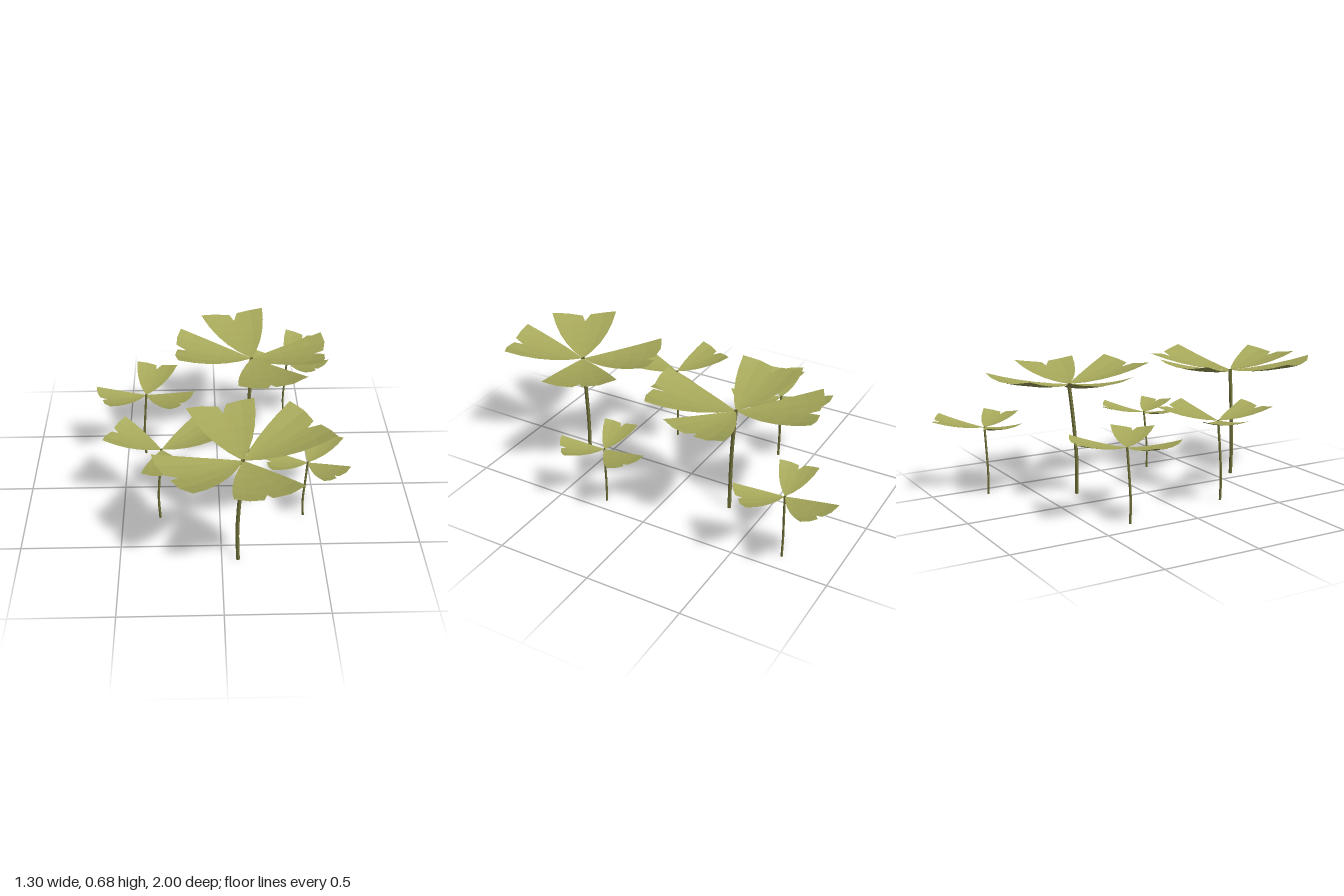
import * as THREE from 'three';

// Leaf tip outline: [fraction of half-angle, fraction of length], with a notch near the middle
const TIP = [[-1, 1], [-0.52, 0.985], [-0.06, 0.94], [0.02, 0.83], [0.2, 0.96], [0.6, 0.985], [1, 1]];
const ROWS = [0.02, 0.2, 0.4, 0.6, 0.8, 1];
const HALF = 24.4;

// Each plant: stem base and top, stem radius, leaves as [heading in degrees, length]
const PLANTS = [
  { name: 'tallBackPlant', base: [0.175, -0.32], top: [0.187, 0.59, -0.35], r: 0.0105,
    leaves: [[5, 0.405], [77.2, 0.442], [182, 0.423], [256.2, 0.431]] },
  { name: 'tallFrontPlant', base: [0.08, 0.605], top: [0.098, 0.59, 0.603], r: 0.0105,
    leaves: [[74.1, 0.402], [147.2, 0.427], [255.6, 0.42], [-32.4, 0.445]] },
  { name: 'rightBackPlant', base: [-0.4, -0.325], top: [-0.386, 0.378, -0.332], r: 0.007,
    leaves: [[282.6, 0.28], [157, 0.268], [36, 0.268]] },
  { name: 'rightFrontPlant', base: [-0.308, 0.265], top: [-0.291, 0.42, 0.257], r: 0.007,
    leaves: [[205.5, 0.291], [-28.5, 0.315], [83.3, 0.295]] },
  { name: 'leftBackPlant', base: [0.405, -0.725], top: [0.417, 0.36, -0.73], r: 0.006,
    leaves: [[-63, 0.272], [46, 0.245], [173, 0.241]] },
  { name: 'leftFrontPlant', base: [0.432, 0.262], top: [0.444, 0.325, 0.252], r: 0.006,
    leaves: [[-61, 0.245], [51.5, 0.228], [172, 0.226]] },
];

// Fan-shaped leaf that curves up along its length and is cupped across its width
function leafGeometry(heading, length) {
  const pos = [], index = [], n = TIP.length;
  ROWS.forEach((t, i) => {
    for (const [a, tip] of TIP) {
      const f = t === 1 ? tip : t;
      const angle = THREE.MathUtils.degToRad(heading + a * HALF * (1 + 0.55 * (1 - t)));
      const y = length * (0.155 * f * f + 0.045 * a * a * f);
      pos.push(length * f * Math.cos(angle), y, length * f * Math.sin(angle));
    }
    if (i === 0) return;
    for (let j = 0; j < n - 1; j++) {
      const p = (i - 1) * n + j, q = i * n + j;
      index.push(p, q + 1, q, p, p + 1, q + 1);
    }
  });
  const geo = new THREE.BufferGeometry();
  geo.setAttribute('position', new THREE.Float32BufferAttribute(pos, 3));
  geo.setIndex(index);
  geo.computeVertexNormals();
  return geo;
}

export function createModel() {
  const leafGreen = new THREE.MeshStandardMaterial({ color: 0xa6a85a, side: THREE.DoubleSide, flatShading: true });
  leafGreen.name = 'leafGreen';
  const stemGreen = new THREE.MeshStandardMaterial({ color: 0x6e6e38, side: THREE.DoubleSide, flatShading: true });
  stemGreen.name = 'stemGreen';

  const model = new THREE.Group();
  model.name = 'plantCluster';
  for (const { name, base, top, r, leaves } of PLANTS) {
    const plant = new THREE.Group();
    plant.name = name;

    // Gently bowed stem
    const [bx, bz] = base, [tx, ty, tz] = top;
    const path = new THREE.CatmullRomCurve3([
      new THREE.Vector3(bx, 0, bz),
      new THREE.Vector3(bx - 0.005, ty * 0.3, bz),
      new THREE.Vector3(bx + (tx - bx) * 0.25, ty * 0.65, bz + (tz - bz) * 0.35),
      new THREE.Vector3(tx, ty + 0.002, tz),
    ]);
    const stem = new THREE.Mesh(new THREE.TubeGeometry(path, 8, r, 6), stemGreen);
    stem.name = 'stem';
    plant.add(stem);

    // Crown of leaves
    for (const [heading, length] of leaves) {
      const leaf = new THREE.Mesh(leafGeometry(heading, length), leafGreen);
      leaf.name = 'leaf';
      leaf.position.set(tx, ty, tz);
      plant.add(leaf);
    }
    model.add(plant);
  }
  return model;
}
